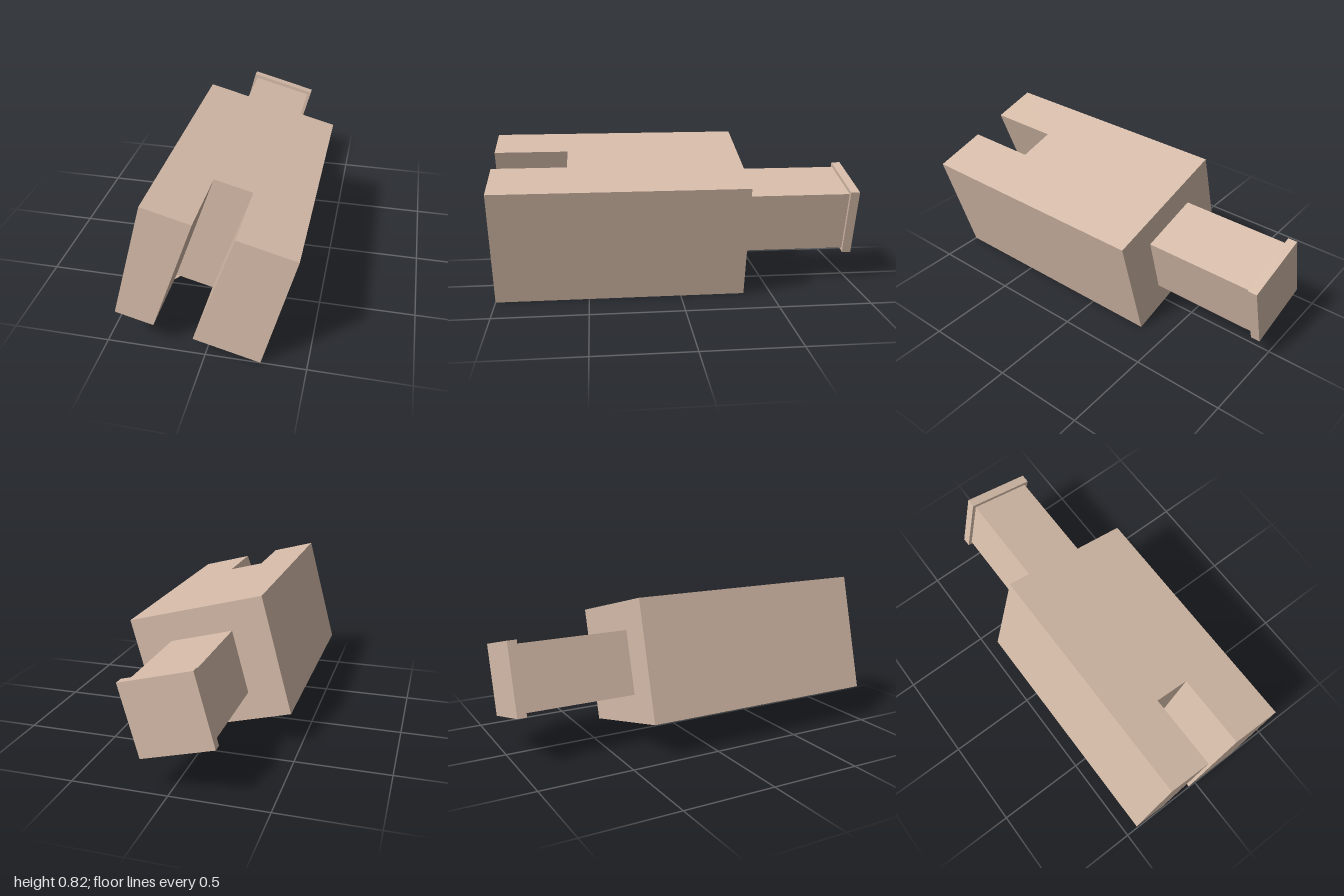
import * as THREE from 'three';

const material = new THREE.MeshStandardMaterial({ color: 0xd6bca9, flatShading: true });

// Square-ended block spanning z0..z1 on the shared axis
function block(name, size, z0, z1) {
  const mesh = new THREE.Mesh(new THREE.BoxGeometry(size, size, z1 - z0), material);
  mesh.name = name;
  mesh.position.z = (z0 + z1) / 2;
  return mesh;
}

// Forked body: U-shaped plan extruded upward, with the slot walls leaning
function forkedBody() {
  const w = 0.374, h = 0.652, front = 1, back = -0.35;
  const slotLeft = -0.15, slotRight = 0.052, slotEnd = 0.6, lean = 0.0767;
  const plan = [
    [-w, front], [slotLeft, front], [slotLeft, slotEnd], [slotRight, slotEnd],
    [slotRight, front], [w, front], [w, back], [-w, back],
  ].map(([x, z]) => new THREE.Vector2(x, -z));
  const geometry = new THREE.ExtrudeGeometry(new THREE.Shape(plan), { depth: h, bevelEnabled: false });
  geometry.rotateX(-Math.PI / 2).translate(0, -h / 2, 0);

  // Shear only the slot corners sideways with height
  const p = geometry.attributes.position;
  for (let i = 0; i < p.count; i++) {
    if (Math.abs(p.getX(i)) < 0.3) p.setX(i, p.getX(i) + lean * p.getY(i));
  }
  geometry.computeVertexNormals();
  const mesh = new THREE.Mesh(geometry, material);
  mesh.name = 'forkedBody';
  return mesh;
}

export function createModel() {
  // All parts share one axis and are rolled together about it
  const rolled = new THREE.Group();
  rolled.name = 'rolledAssembly';
  rolled.add(
    forkedBody(),
    block('neck', 0.347, -0.95, -0.35),
    block('endCap', 0.387, -1, -0.95),
  );
  rolled.rotation.z = -Math.PI / 12;
  rolled.position.set(-0.002, 0.412, 0);

  const model = new THREE.Group();
  model.name = 'model';
  model.add(rolled);
  return model;
}
